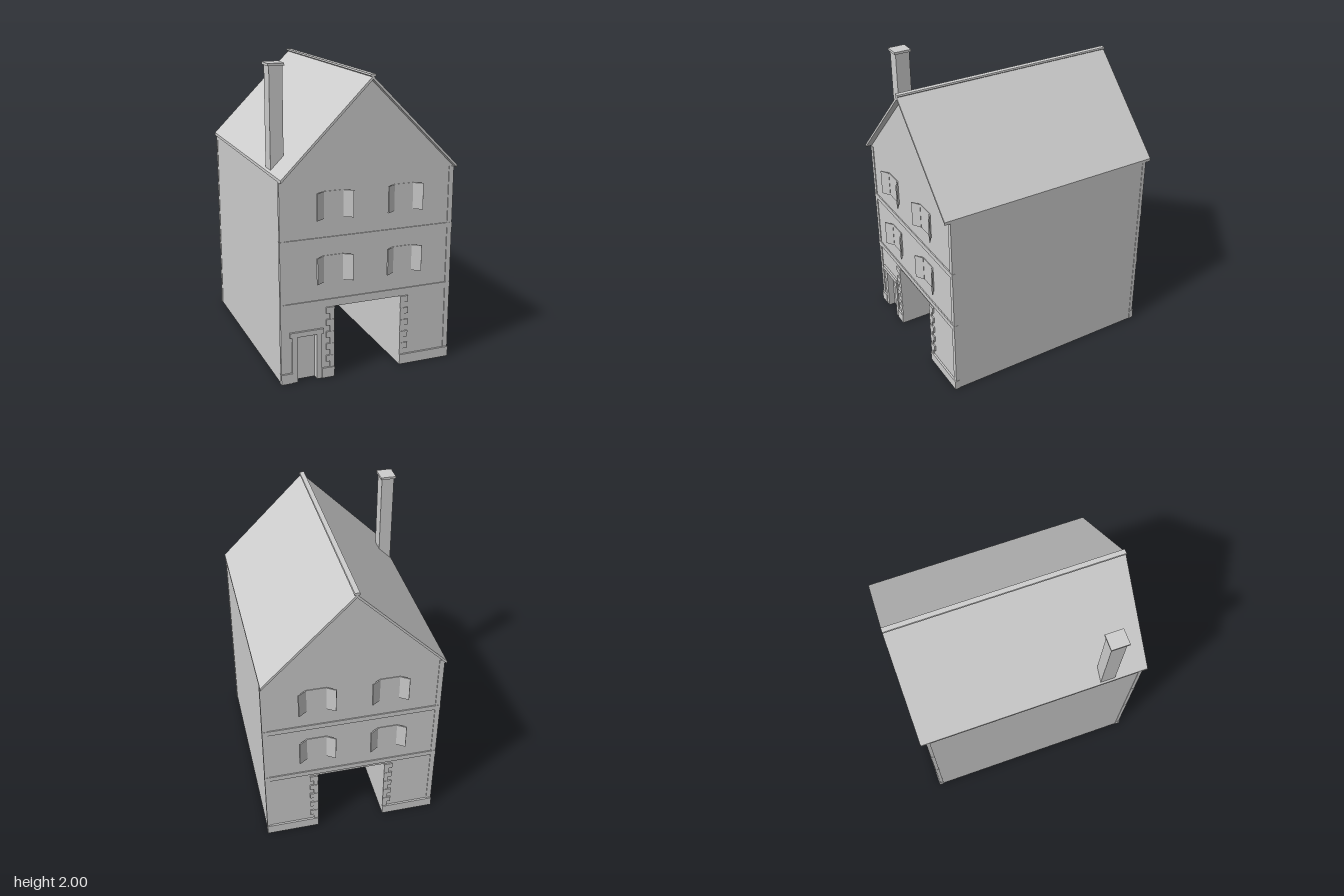
import * as THREE from 'three';

const HALF_X = 0.585, HALF_Z = 0.735, EAVES = 1.32, APEX = 1.905;
const GATE_X = 0.23, GATE_Y = 0.48, WALL = 0.06;

export function createModel() {
  const model = new THREE.Group();
  model.name = 'gatehouse';
  const stone = new THREE.MeshStandardMaterial({ color: 0xcccccc });
  stone.name = 'plain grey';

  // Box given by its limits on each axis
  const box = (parent, name, x0, x1, y0, y1, z0, z1) => {
    const mesh = new THREE.Mesh(new THREE.BoxGeometry(x1 - x0, y1 - y0, z1 - z0), stone);
    mesh.position.set((x0 + x1) / 2, (y0 + y1) / 2, (z0 + z1) / 2);
    mesh.name = name;
    parent.add(mesh);
    return mesh;
  };
  // Outline in x and y pushed along z
  const extrude = (parent, name, points, z0, z1) => {
    const shape = new THREE.Shape(points.map(([x, y]) => new THREE.Vector2(x, y)));
    const geometry = new THREE.ExtrudeGeometry(shape, { depth: z1 - z0, bevelEnabled: false });
    geometry.translate(0, 0, z0);
    const mesh = new THREE.Mesh(geometry, stone);
    mesh.name = name;
    parent.add(mesh);
    return mesh;
  };

  // Window with two half-open shutters
  const addWindow = (parent, x, y) => {
    const group = new THREE.Group();
    group.name = 'window';
    group.position.set(x, y, HALF_Z);
    box(group, 'windowPane', -0.068, 0.068, -0.087, 0.087, -0.002, 0.004);
    for (const s of [-1, 1]) {
      const hinge = new THREE.Group();
      hinge.name = 'shutterHinge';
      hinge.position.set(s * 0.066, 0, 0.003);
      hinge.rotation.y = -s * 0.57;
      const x0 = s < 0 ? -0.065 : 0;
      box(hinge, 'shutter', x0, x0 + 0.065, -0.086, 0.086, -0.004, 0.004);
      group.add(hinge);
    }
    parent.add(group);
  };

  // Gable facade, facing +z
  const makeFacade = (name, hasDoor) => {
    const f = new THREE.Group();
    f.name = name;
    const doorway = hasDoor ? [[-0.35, 0], [-0.35, 0.31], [-0.48, 0.31], [-0.48, 0]] : [];
    extrude(f, 'gableWall', [
      [HALF_X, 0], [HALF_X, EAVES], [0, APEX], [-HALF_X, EAVES], [-HALF_X, 0],
      ...doorway.slice().reverse(),
      [-GATE_X, 0], [-GATE_X, GATE_Y], [GATE_X, GATE_Y], [GATE_X, 0],
    ], HALF_Z - WALL, HALF_Z);

    // Windows on two floors
    for (const x of [-0.237, 0.237]) for (const y of [0.738, 1.15]) addWindow(f, x, y);

    // String courses
    for (const y of [0.5, 0.91])
      box(f, 'stringCourse', -HALF_X - 0.004, HALF_X + 0.004, y, y + 0.035, HALF_Z - 0.02, HALF_Z + 0.007);

    for (const s of [-1, 1]) {
      const span = (part, a, b, y0, y1, out) =>
        box(f, part, Math.min(s * a, s * b), Math.max(s * a, s * b), y0, y1, HALF_Z - 0.02, HALF_Z + out);
      // Corner strips, plinth and alternating gate stones
      span('cornerStrip', HALF_X - 0.03, HALF_X + 0.003, 0.07, EAVES, 0.005);
      if (hasDoor && s < 0) {
        span('plinth', 0.515, HALF_X + 0.004, 0, 0.068, 0.013);
        span('plinth', GATE_X, 0.315, 0, 0.068, 0.013);
      } else span('plinth', GATE_X, HALF_X + 0.004, 0, 0.068, 0.013);
      const rows = 10, h = (GATE_Y - 0.068) / rows;
      for (let i = 0; i < rows; i++)
        span('gateStone', GATE_X, i % 2 ? 0.285 : 0.26, 0.068 + i * h, 0.068 + (i + 1) * h, i % 2 ? 0.01 : 0.007);
    }

    // Door with its frame
    if (hasDoor) {
      box(f, 'door', -0.48, -0.35, 0, 0.31, HALF_Z - WALL, HALF_Z - 0.035);
      box(f, 'doorJamb', -0.515, -0.48, 0, 0.31, HALF_Z - 0.02, HALF_Z + 0.009);
      box(f, 'doorJamb', -0.35, -0.315, 0, 0.31, HALF_Z - 0.02, HALF_Z + 0.009);
      box(f, 'doorLintel', -0.53, -0.305, 0.31, 0.343, HALF_Z - 0.02, HALF_Z + 0.014);
    }
    return f;
  };
  const back = makeFacade('backFacade', false);
  back.rotation.y = Math.PI;
  model.add(makeFacade('frontFacade', true), back);

  // Side walls and passage walls
  const inner = HALF_Z - WALL;
  for (const s of [-1, 1]) {
    const cx = s * (HALF_X - WALL / 2), px = s * (GATE_X + WALL / 2);
    box(model, 'sideWall', cx - WALL / 2, cx + WALL / 2, 0, EAVES, -inner, inner);
    box(model, 'passageWall', px - WALL / 2, px + WALL / 2, 0, 0.53, -inner, inner);
  }

  // Floor above the passage, with beams below it
  box(model, 'upperFloor', -HALF_X + WALL, HALF_X - WALL, 0.52, 0.54, -inner, inner);
  const beams = 16;
  for (let i = 0; i < beams; i++) {
    const z = -inner + (i + 0.5) * (2 * inner / beams);
    box(model, 'ceilingBeam', -GATE_X, GATE_X, 0.482, 0.521, z - 0.02, z + 0.02);
  }

  // Roof and ridge cap
  extrude(model, 'roof', [
    [0.588, 1.318], [0.588, 1.338], [0, 1.926], [-0.588, 1.338], [-0.588, 1.318], [0, APEX],
  ], -0.777, 0.777);
  extrude(model, 'ridgeCap', [
    [0, 1.915], [0.019, 1.928], [0.016, 1.938], [-0.016, 1.938], [-0.019, 1.928],
  ], -0.777, 0.777);

  // Chimney
  box(model, 'chimneyShaft', -0.577, -0.492, 1.33, 1.986, 0.45, 0.55);
  box(model, 'chimneyCap', -0.588, -0.483, 1.984, 2, 0.44, 0.56);

  return model;
}
